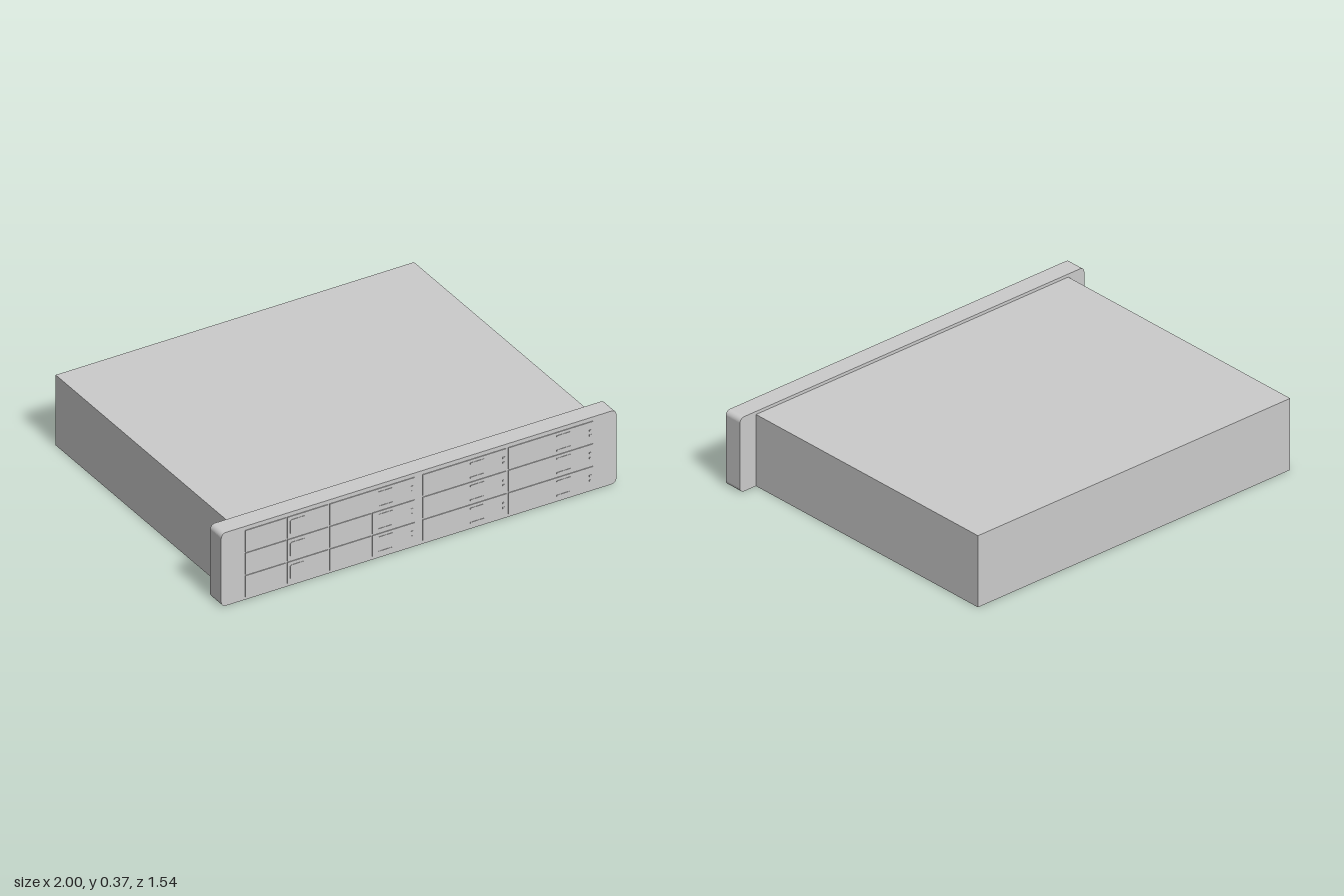
import * as THREE from 'three';

const grey = new THREE.MeshStandardMaterial({ color: 0xcccccc });

export function createModel() {
  const model = new THREE.Group();
  const FRONT = 0.762; // front face of the bezel

  function box(parent, name, w, h, d, x, y, z) {
    const mesh = new THREE.Mesh(new THREE.BoxGeometry(w, h, d), grey);
    mesh.name = name;
    mesh.position.set(x, y, z);
    parent.add(mesh);
    return mesh;
  }

  // Flat plate with rounded corners, its back at z
  function roundedPlate(parent, name, w, h, r, d, x, y, z) {
    const s = new THREE.Shape();
    const a = w / 2, b = h / 2;
    s.moveTo(-a + r, -b);
    s.lineTo(a - r, -b);
    s.absarc(a - r, -b + r, r, -Math.PI / 2, 0);
    s.lineTo(a, b - r);
    s.absarc(a - r, b - r, r, 0, Math.PI / 2);
    s.lineTo(-a + r, b);
    s.absarc(-a + r, b - r, r, Math.PI / 2, Math.PI);
    s.lineTo(-a, -b + r);
    s.absarc(-a + r, -b + r, r, Math.PI, Math.PI * 1.5);
    const geo = new THREE.ExtrudeGeometry(s, { depth: d, bevelEnabled: false, curveSegments: 8 });
    const mesh = new THREE.Mesh(geo, grey);
    mesh.name = name;
    mesh.position.set(x, y, z);
    parent.add(mesh);
  }

  // Main case and the wider front bezel
  box(model, 'chassis', 1.814, 0.355, 1.442, 0, 0.1775, -0.046);
  roundedPlate(model, 'bezel', 2, 0.37, 0.024, FRONT - 0.67, 0, 0.185, 0.67);

  // Twelve drive bays, some of them split into two half-width covers
  const bays = new THREE.Group();
  bays.name = 'driveBays';
  model.add(bays);
  const columns = [[-0.88, -0.462], [-0.452, -0.022], [0.02, 0.442], [0.452, 0.88]];
  const rowH = 0.107, pitch = 0.114;
  for (let row = 0; row < 3; row++) {
    const y = 0.2965 - row * pitch;
    columns.forEach(([x0, x1], col) => {
      const split = col === 0 ? -0.67 : col === 1 && row > 0 ? -0.24 : null;
      const spans = split === null ? [[x0, x1]] : [[x0, split - 0.004], [split + 0.004, x1]];
      for (const [a, b] of spans)
        box(bays, 'bayCover', b - a, rowH, 0.004, (a + b) / 2, y, FRONT + 0.002);

      // Label strips and indicator lights near the right end of each drive
      if (col > 0) {
        for (const dy of [-0.036, 0.036])
          box(bays, 'labelStrip', 0.07, 0.006, 0.002, x1 - 0.15, y + dy, FRONT + 0.005);
        for (const dy of [-0.012, 0.012])
          box(bays, 'indicatorLight', 0.01, 0.008, 0.002, x1 - 0.015, y + dy, FRONT + 0.005);
      }
    });
    // Square button in the first column
    roundedPlate(bays, 'button', 0.078, 0.074, 0.01, 0.003, -0.615, y, FRONT + 0.003);
  }
  return model;
}
